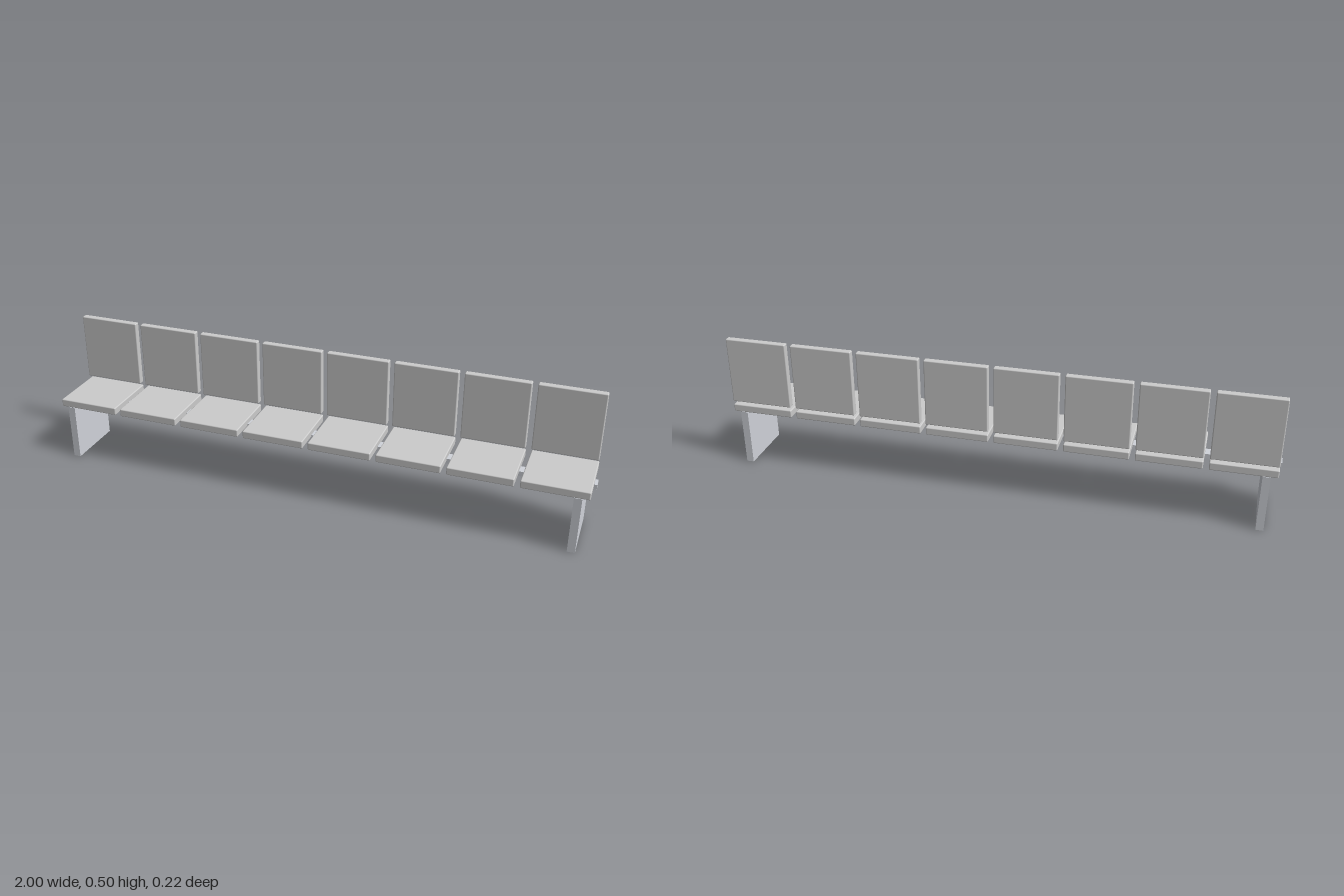
import * as THREE from 'three';
import { RoundedBoxGeometry } from 'three/addons/geometries/RoundedBoxGeometry.js';

export function createModel() {
  const group = new THREE.Group();
  const padMaterial = new THREE.MeshStandardMaterial({ color: 0xcccccc });
  const frameMaterial = new THREE.MeshStandardMaterial({ color: 0xd0d3da });

  const add = (name, geometry, material, x, y, z) => {
    const mesh = new THREE.Mesh(geometry, material);
    mesh.name = name;
    mesh.position.set(x, y, z);
    group.add(mesh);
  };

  // Long beam carrying the seats
  add('beam', new THREE.BoxGeometry(2, 0.018, 0.038), frameMaterial, 0, 0.211, 0);

  // Slab legs at both ends
  const leg = new THREE.BoxGeometry(0.027, 0.211, 0.224);
  for (const side of [-1, 1]) {
    add(side > 0 ? 'leftLeg' : 'rightLeg', leg, frameMaterial, side * 0.951, 0.1055, 0);
  }

  // Row of eight seats, each with a floating backrest
  const seat = new RoundedBoxGeometry(0.23, 0.029, 0.224, 3, 0.004);
  const back = new RoundedBoxGeometry(0.23, 0.25, 0.024, 3, 0.004);
  const count = 8;
  for (let i = 0; i < count; i++) {
    const x = (i - (count - 1) / 2) * 0.25;
    add(`seat${i + 1}`, seat, padMaterial, x, 0.2255, 0);
    add(`backrest${i + 1}`, back, padMaterial, x, 0.377, -0.1);
  }
  return group;
}
